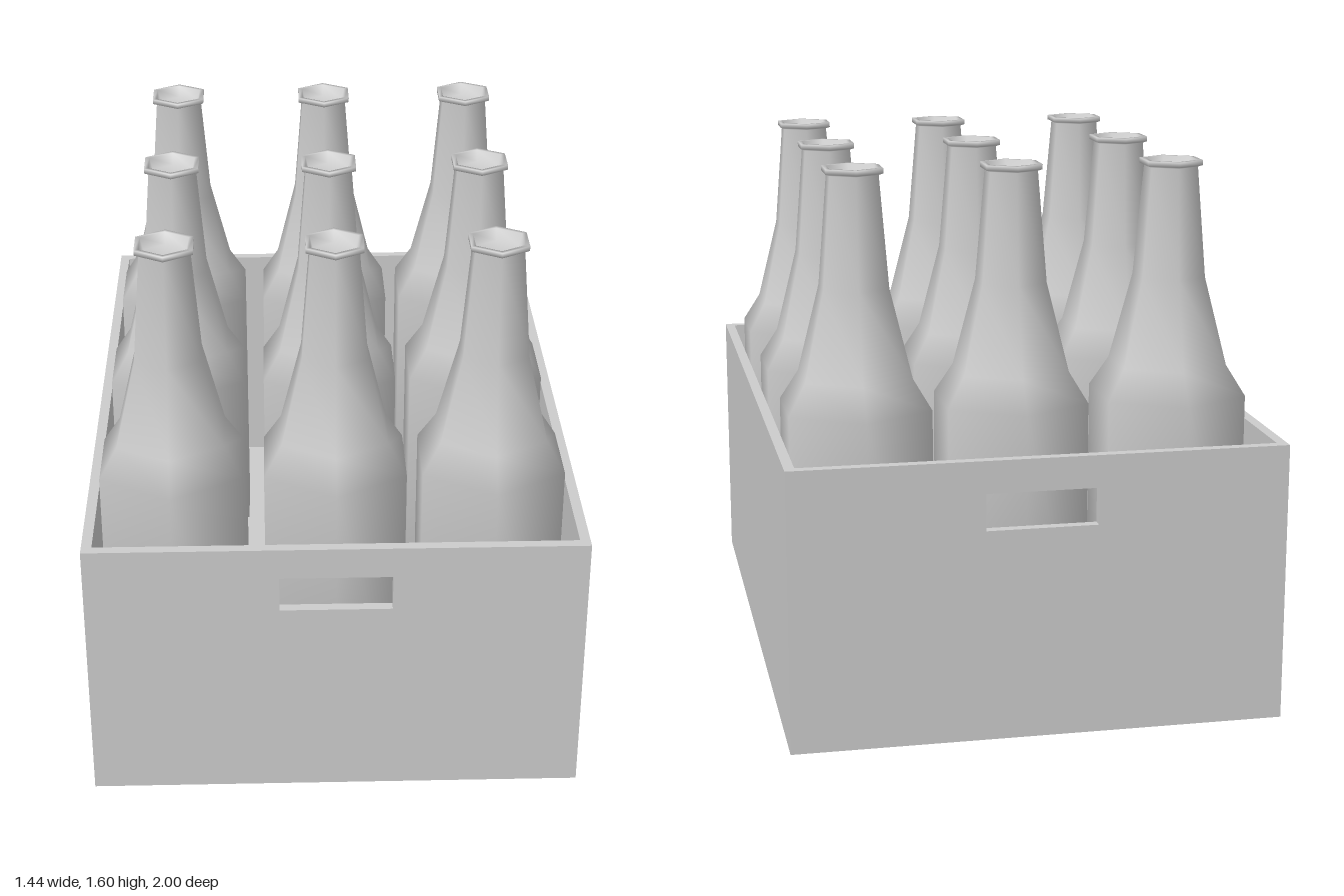
import * as THREE from 'three';

const W = 1.44, H = 0.825, D = 2, T = 0.03; // crate size and wall thickness

export function createModel() {
  const model = new THREE.Group();
  model.name = 'bottleCrate';
  const material = new THREE.MeshStandardMaterial({ color: 0xcccccc });

  const add = (parent, name, geometry, x, y, z) => {
    const mesh = new THREE.Mesh(geometry, material);
    mesh.name = name;
    mesh.position.set(x, y, z);
    parent.add(mesh);
    return mesh;
  };

  // Crate: floor, two long side walls
  const crate = new THREE.Group();
  crate.name = 'crate';
  model.add(crate);
  add(crate, 'floor', new THREE.BoxGeometry(W - 2 * T, T, D - 2 * T), 0, T / 2, 0);
  const sideWall = new THREE.BoxGeometry(T, H, D - 2 * T);
  add(crate, 'leftWall', sideWall, (W - T) / 2, H / 2, 0);
  add(crate, 'rightWall', sideWall, -(W - T) / 2, H / 2, 0);

  // End walls with a rectangular hand hole
  const wallShape = new THREE.Shape([
    new THREE.Vector2(-W / 2, 0), new THREE.Vector2(W / 2, 0),
    new THREE.Vector2(W / 2, H), new THREE.Vector2(-W / 2, H),
  ]);
  wallShape.holes.push(new THREE.Path([
    new THREE.Vector2(-0.163, 0.622), new THREE.Vector2(-0.163, 0.73),
    new THREE.Vector2(0.161, 0.73), new THREE.Vector2(0.161, 0.622),
  ]));
  const endWall = new THREE.ExtrudeGeometry(wallShape, { depth: T, bevelEnabled: false });
  add(crate, 'frontWall', endWall, 0, 0, D / 2 - T);
  add(crate, 'backWall', endWall, 0, 0, -D / 2);

  // Six-sided bottle: body, shoulder, neck, lip and recessed mouth
  const profile = [
    [0, T], [0.24, T], [0.24, 0.9], [0.18, 0.99], [0.11, 1.25], [0.081, 1.575],
    [0.095, 1.58], [0.095, 1.595], [0.08, 1.595], [0.07, 1.56], [0, 1.56],
  ].map(([r, y]) => new THREE.Vector2(r, y));
  const bottle = new THREE.LatheGeometry(profile, 6);

  // Three by three bottles
  const bottles = new THREE.Group();
  bottles.name = 'bottles';
  model.add(bottles);
  for (const x of [-0.473, 0.005, 0.467]) {
    for (const z of [-0.585, 0.011, 0.606]) add(bottles, 'bottle', bottle, x, 0, z);
  }
  return model;
}
